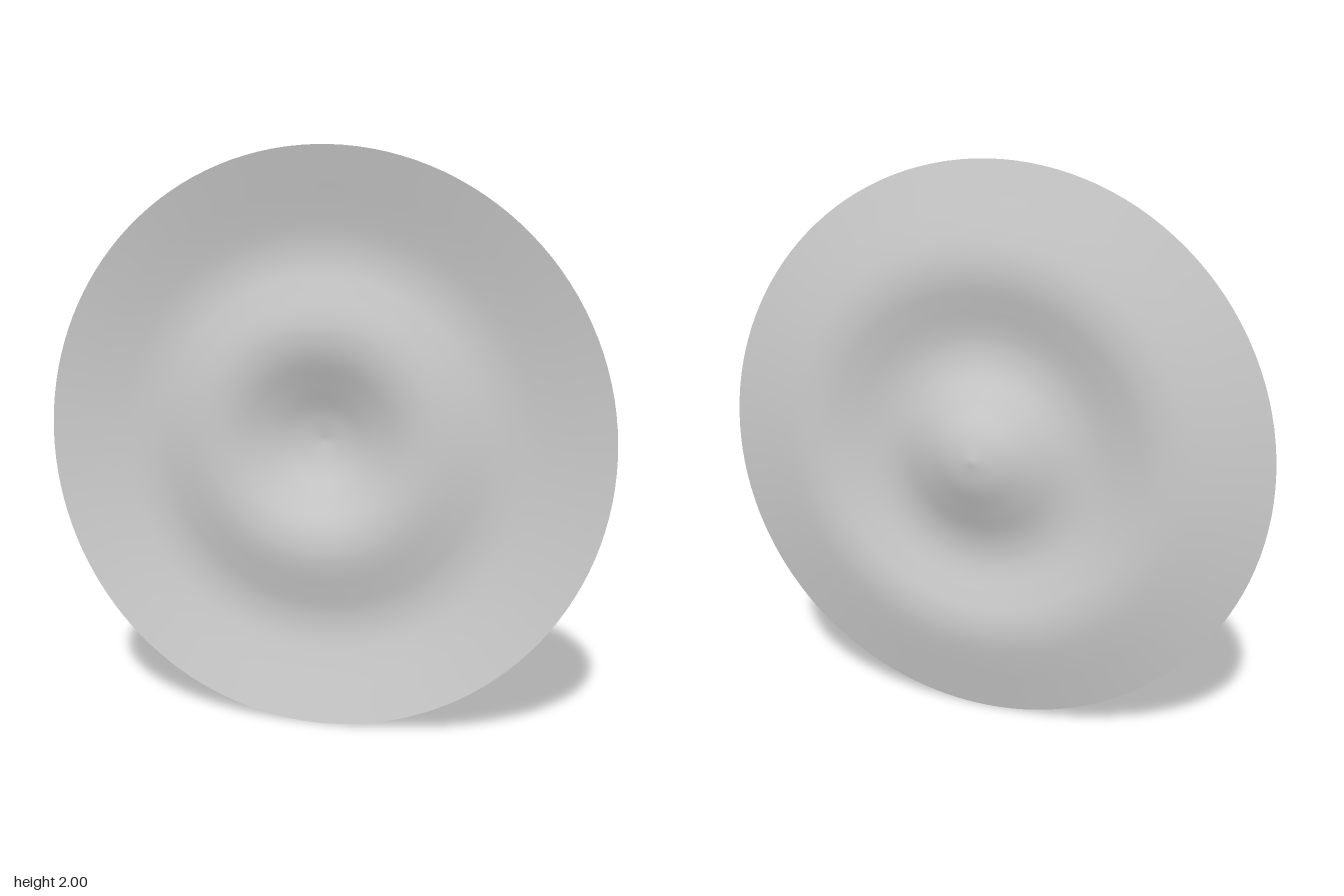
import * as THREE from 'three';
import { mergeVertices } from 'three/addons/utils/BufferGeometryUtils.js';

// Depth of the sheet from rim to centre: [radius, z]
const PROFILE = [
  [1, 0.055], [0.9, 0.033], [0.8, 0.011], [0.72, -0.004], [0.66, -0.008],
  [0.6, -0.003], [0.53, 0.013], [0.45, 0.032], [0.38, 0.039], [0.3, 0.028],
  [0.2, -0.009], [0.1, -0.047], [0, -0.065],
];

// Thin round sheet with a central dimple and a ring-shaped ripple
function rippledDisc() {
  const curve = new THREE.SplineCurve(PROFILE.map(([r, z]) => new THREE.Vector2(r, z)));
  const points = curve.getPoints(60);
  points[points.length - 1].x = 0;
  let geometry = new THREE.LatheGeometry(points, 128);
  geometry.rotateX(Math.PI / 2);

  // Gentle saddle bend and tilt across the sheet
  const pos = geometry.attributes.position;
  for (let i = 0; i < pos.count; i++) {
    const x = pos.getX(i), y = pos.getY(i);
    pos.setZ(i, pos.getZ(i) - 0.01 * (x * x - y * y) - 0.005 * x);
  }

  // Weld the seam and centre for smooth normals
  geometry.deleteAttribute('uv');
  geometry.deleteAttribute('normal');
  geometry = mergeVertices(geometry, 1e-5);
  geometry.computeVertexNormals();
  return geometry;
}

export function createModel() {
  const group = new THREE.Group();
  group.name = 'rippledDiscModel';
  const material = new THREE.MeshStandardMaterial({ color: 0xcccccc, side: THREE.DoubleSide });
  const disc = new THREE.Mesh(rippledDisc(), material);
  disc.name = 'rippledDisc';
  disc.position.y = 1;
  group.add(disc);
  return group;
}
